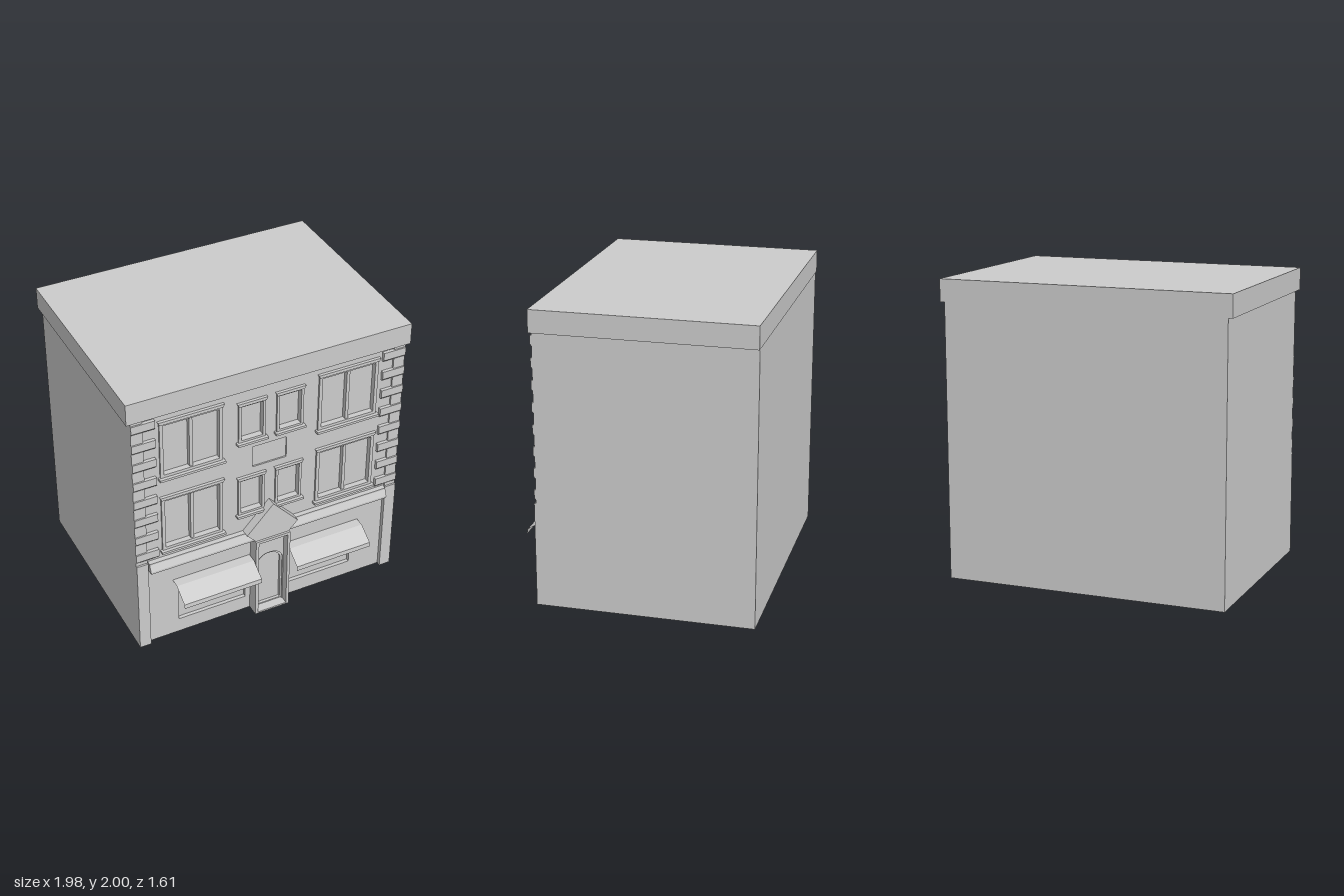
import * as THREE from 'three';

const grey = new THREE.MeshStandardMaterial({ color: 0xcccccc, flatShading: true });
const thin = new THREE.MeshStandardMaterial({ color: 0xcccccc, flatShading: true, side: THREE.DoubleSide });

export function createModel() {
  const model = new THREE.Group();

  function add(name, geometry, material = grey) {
    const mesh = new THREE.Mesh(geometry, material);
    mesh.name = name;
    model.add(mesh);
    return mesh;
  }

  // Box given by its limits on each axis
  function box(name, x0, x1, y0, y1, z0, z1) {
    const g = new THREE.BoxGeometry(x1 - x0, y1 - y0, z1 - z0);
    g.translate((x0 + x1) / 2, (y0 + y1) / 2, (z0 + z1) / 2);
    return add(name, g);
  }

  const rect = (Type, [x0, x1, y0, y1]) =>
    new Type([[x0, y0], [x1, y0], [x1, y1], [x0, y1]].map(p => new THREE.Vector2(...p)));

  // Rectangle or shape with holes, extruded from z0 to z1
  function slab(name, outline, holes, z0, z1) {
    const shape = Array.isArray(outline) ? rect(THREE.Shape, outline) : outline;
    for (const h of holes) shape.holes.push(Array.isArray(h) ? rect(THREE.Path, h) : h);
    const g = new THREE.ExtrudeGeometry(shape, { depth: z1 - z0, bevelEnabled: false, curveSegments: 12 });
    g.translate(0, 0, z0);
    return add(name, g);
  }

  // Moulding: a [z, y] profile run along x
  function moulding(name, profile, x0, x1) {
    const shape = new THREE.Shape(profile.map(([z, y]) => new THREE.Vector2(-z, y)));
    const g = new THREE.ExtrudeGeometry(shape, { depth: x1 - x0, bevelEnabled: false });
    g.rotateY(Math.PI / 2).translate(x0, 0, 0);
    return add(name, g);
  }

  // Doorway outline with a round-shouldered arch
  function arch(Type, w, y0, top) {
    const p = new Type();
    p.moveTo(-w, y0);
    p.lineTo(w, y0);
    p.lineTo(w, top - 0.085);
    p.absellipse(0, top - 0.085, w, 0.085, 0, Math.PI, false);
    p.lineTo(-w, y0);
    return p;
  }

  const CORE = 0.595, WALL = 0.625, SHOP = 0.62;

  // Building mass and parapet
  box('body', -0.96, 0.96, 0, 1.86, -0.8, CORE);
  box('parapet', -0.99, 0.99, 1.85, 2, -0.803, 0.65);

  // Upper windows: [x0, x1, y0, y1] of the frame
  const windows = [];
  for (const dy of [0, 0.59]) {
    for (const s of [-1, 1]) {
      const span = (a, b) => (s > 0 ? [a, b] : [-b, -a]);
      windows.push({ wide: true, r: [...span(0.34, 0.77), 0.77 + dy, 1.195 + dy] });
      windows.push({ wide: false, r: [...span(0.04, 0.23), 0.86 + dy, 1.155 + dy] });
    }
  }
  const inset = ([a, b, c, d], t) => [a + t, b - t, c + t, d - t];
  const plaque = [-0.125, 0.12, 1.22, 1.38];
  slab('upperWall', [-0.96, 0.96, 0.66, 1.86],
    [...windows.map(w => inset(w.r, 0.018)), plaque], CORE, WALL);
  box('plaquePanel', ...plaque, CORE, 0.615);

  for (const { wide, r } of windows) {
    const [x0, x1, y0, y1] = r;
    const t = wide ? 0.023 : 0.018;
    slab('windowFrame', r, [inset(r, t)], 0.6, 0.638);
    box('windowSill', x0 - 0.012, x1 + 0.012, y0 - 0.014, y0 + 0.003, 0.6, 0.66);
    // Flared head over each window
    const head = new THREE.Shape([[x0, y1 - 0.01], [x1, y1 - 0.01], [x1 + 0.01, y1 + 0.012],
      [x0 - 0.01, y1 + 0.012]].map(p => new THREE.Vector2(...p)));
    slab('windowHead', head, [], 0.6, 0.645);
    const m = (x0 + x1) / 2;
    if (wide) box('windowMullion', m - 0.011, m + 0.011, y0 + 0.02, y1 - 0.02, CORE, 0.628);
  }

  // Corner strips with quoins
  for (const s of [-1, 1]) {
    const span = (a, b) => (s > 0 ? [a, b] : [-b, -a]);
    box('cornerStrip', ...span(0.88, 0.96), 0.7, 1.86, CORE, 0.638);
    for (let i = 0; i < 8; i++) {
      const y = 0.735 + i * 0.1463;
      moulding('quoin', [[CORE, y], [0.638, y], [0.648, y + 0.012], [0.648, y + 0.068], [CORE, y + 0.068]],
        ...span(0.8, 0.96));
    }
    box('shopPilaster', ...span(0.88, 0.96), 0, 0.71, CORE, 0.65);
  }

  // Shop front
  const shopWindows = [[-0.66, -0.165, 0.11, 0.42], [0.16, 0.64, 0.11, 0.42]];
  slab('shopWall', [-0.9, 0.9, 0, 0.67], shopWindows, CORE, SHOP);
  moulding('shopFascia', [[CORE, 0.64], [0.68, 0.64], [0.68, 0.655], [0.66, 0.7], [0.66, 0.71], [CORE, 0.71]],
    -0.875, 0.875);

  // Awnings: folded thin sheets
  for (const [x0, x1] of [[-0.7, -0.135], [0.13, 0.69]]) {
    const profile = [[SHOP, 0.475], [0.685, 0.473], [0.8, 0.402], [0.803, 0.37]];
    const g = new THREE.PlaneGeometry(1, 1, 1, 3);
    const pos = g.attributes.position;
    for (let i = 0; i < pos.count; i++) {
      const [z, y] = profile[Math.floor(i / 2)];
      pos.setXYZ(i, i % 2 ? x1 : x0, y, z);
    }
    g.computeVertexNormals();
    add('awning', g, thin);
  }

  // Entrance: surround, arched panel, door and step
  slab('doorSurround', [-0.13, 0.125, 0, 0.64], [[-0.108, 0.105, 0.012, 0.62]], CORE, 0.705);
  slab('archPanel', [-0.108, 0.105, 0.005, 0.62], [arch(THREE.Path, 0.1, 0.012, 0.468)], CORE, 0.65);
  slab('archTrim', arch(THREE.Shape, 0.1, 0.012, 0.468), [arch(THREE.Path, 0.088, 0.02, 0.455)], CORE, 0.64);
  box('door', -0.1, 0.1, 0.005, 0.46, CORE, 0.615);

  // Pointed gable above the entrance
  const gable = new THREE.Shape([[-0.125, 0.64], [0.12, 0.64], [0.185, 0.71], [0, 0.915], [-0.19, 0.71]]
    .map(p => new THREE.Vector2(...p)));
  slab('entranceGable', gable, [], 0.615, 0.69);

  return model;
}
